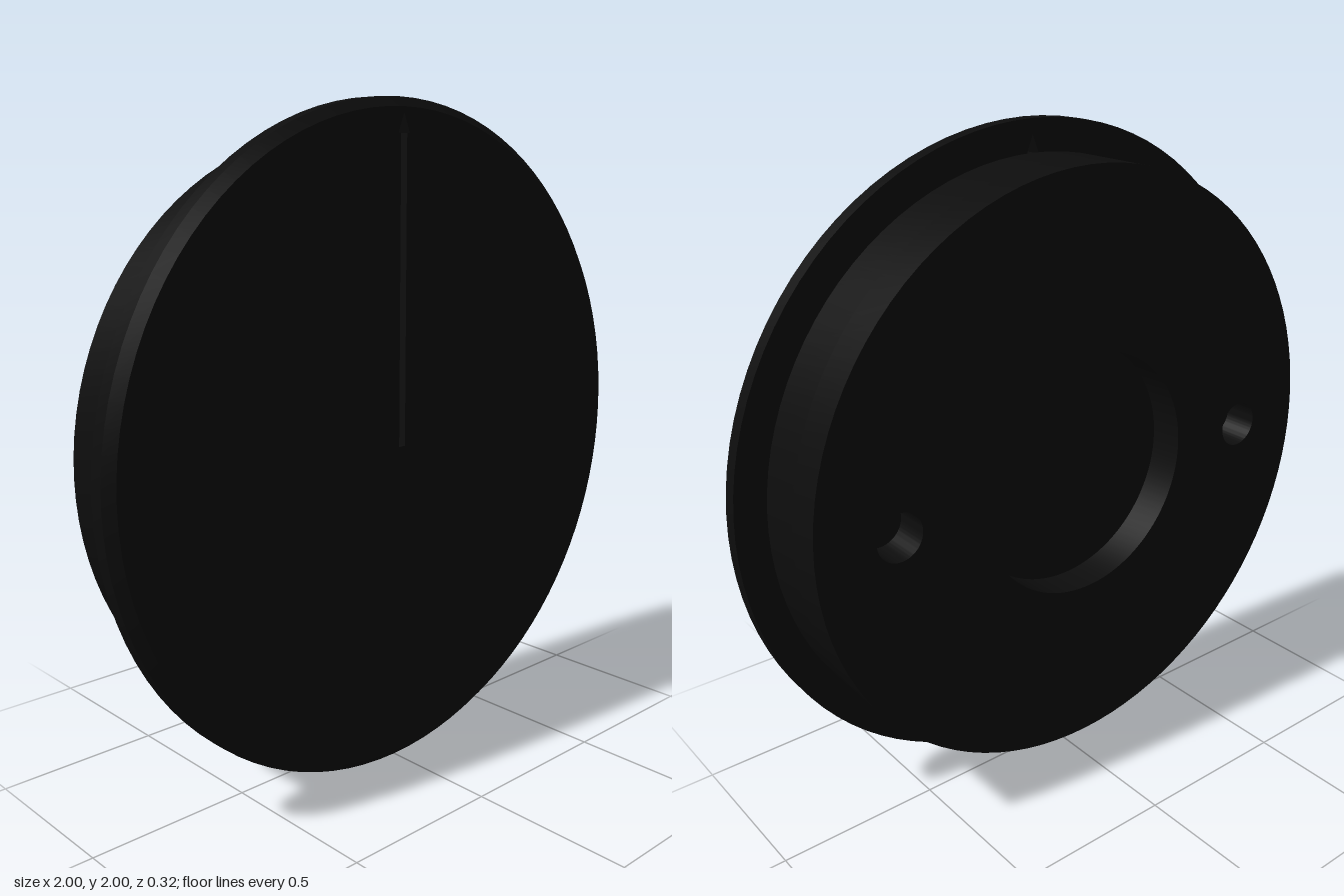
import * as THREE from 'three';
import { toCreasedNormals } from 'three/addons/utils/BufferGeometryUtils.js';

const SEGMENTS = 96;

export function createModel() {
  const model = new THREE.Group();
  const black = new THREE.MeshStandardMaterial({ color: 0x0d0d0d });
  black.name = 'black';

  const add = (name, geometry) => {
    const mesh = new THREE.Mesh(geometry, black);
    mesh.name = name;
    mesh.position.y = 1;
    model.add(mesh);
  };
  const circle = (type, x, r) => new type().absarc(x, 0, r, 0, Math.PI * 2, false);
  // Disc between two depths, with optional cut-outs
  const slab = (r, z0, z1, holes = []) => {
    const shape = circle(THREE.Shape, 0, r);
    shape.holes.push(...holes);
    const g = new THREE.ExtrudeGeometry(shape, {
      depth: z1 - z0, bevelEnabled: false, curveSegments: SEGMENTS / 2,
    });
    g.translate(0, 0, z0);
    return toCreasedNormals(g, 0.5);
  };

  // Front plate with an arrow-shaped pointer slot running from the centre to the rim
  const pointer = new THREE.Path([
    [-0.012, 0], [-0.012, 0.9], [-0.022, 0.9], [0, 0.955],
    [0.022, 0.9], [0.012, 0.9], [0.012, 0],
  ].map(([x, y]) => new THREE.Vector2(x, y)));
  add('frontPlate', slab(0.972, 0.09, 0.16, [pointer]));

  // Chamfered rim around the plate
  const profile = [[0.972, 0.09], [1, 0.09], [1, 0.134], [0.972, 0.16]]
    .map(([r, z]) => new THREE.Vector2(r, z));
  const rim = new THREE.LatheGeometry(profile, SEGMENTS);
  rim.rotateX(Math.PI / 2);
  add('chamferedRim', toCreasedNormals(rim, 0.5));

  // Solid core of the body, which is the floor of the slot and of the rear recesses
  add('bodyCore', slab(0.905, -0.05, 0.09));

  // Rear of the body with a central recess and two pin holes
  add('bodyBack', slab(0.905, -0.16, -0.05, [
    circle(THREE.Path, 0, 0.377),
    circle(THREE.Path, -0.65, 0.072),
    circle(THREE.Path, 0.65, 0.072),
  ]));

  return model;
}
